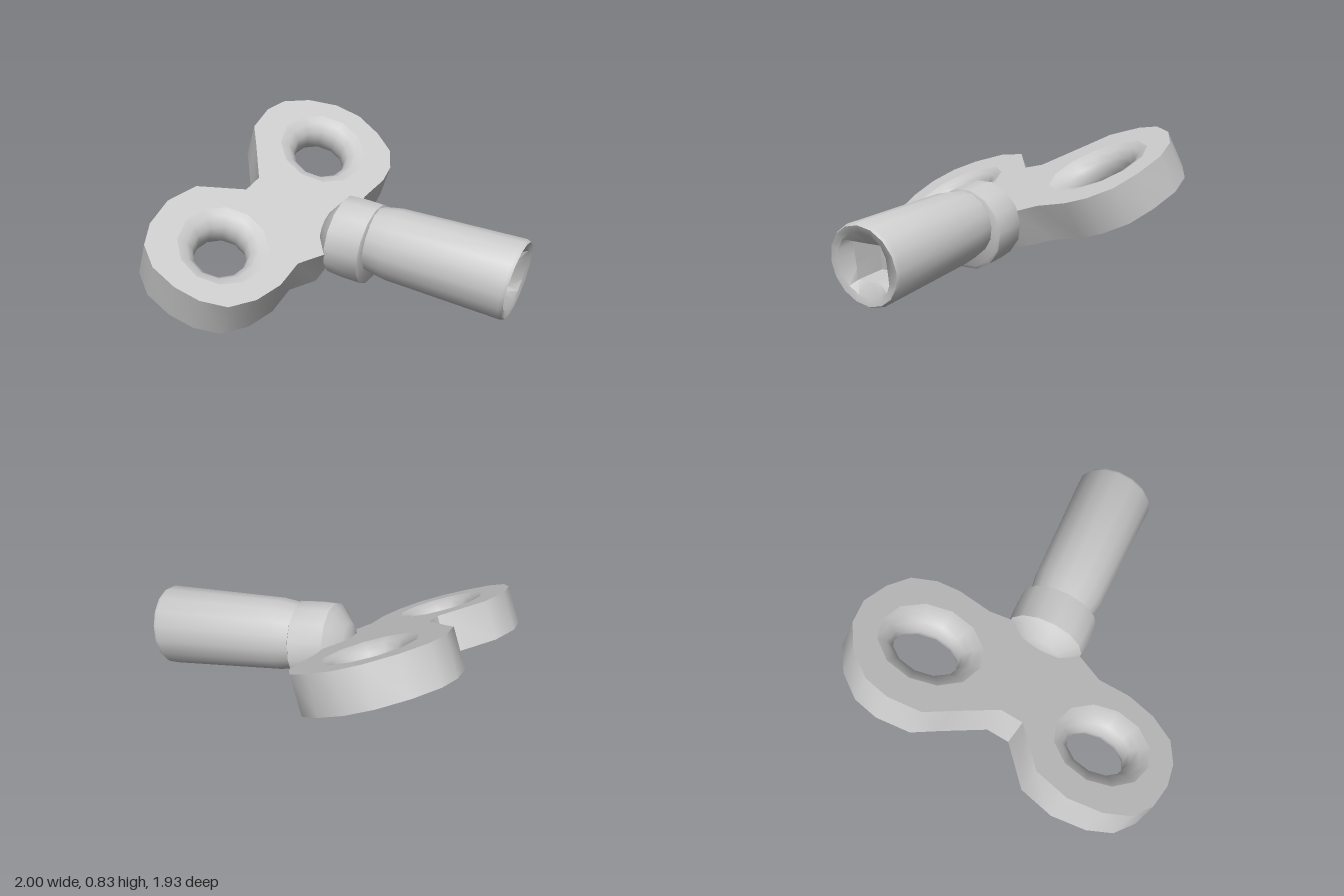
import * as THREE from 'three';
import { toCreasedNormals } from 'three/addons/utils/BufferGeometryUtils.js';

const material = new THREE.MeshStandardMaterial({ color: 0xcccccc });

function addPart(group, name, geometry, crease = 0.7) {
  const mesh = new THREE.Mesh(toCreasedNormals(geometry, crease), material);
  mesh.name = name;
  group.add(mesh);
}

// Turned part from a profile of [radius, distance along the axis]
function turned(profile, segments) {
  return new THREE.LatheGeometry(profile.map(([r, t]) => new THREE.Vector2(r, t)), segments);
}

// Lays a turned part along x on a falling axis that starts at height y
function layDown(geo, slope, y) {
  return geo.rotateZ(-Math.PI / 2 - Math.atan(slope)).translate(0, y, 0.01);
}

// Tilted plane of the handle: x, -z and thickness mapped into the model
const HALF = 0.112;
const normal = new THREE.Vector3(0.43, 1, 0.265).normalize();
const tilt = new THREE.Matrix4()
  .makeBasis(new THREE.Vector3(1, -0.43, 0), new THREE.Vector3(0, 0.265, -1), normal)
  .setPosition(0, 0.187, 0);

// Finger holes: centre x, z and radii at the waist of the opening
const HOLES = [
  { name: 'frontHoleRim', x: -0.58, z: 0.53, rx: 0.135, rz: 0.175 },
  { name: 'backHoleRim', x: -0.5, z: -0.52, rx: 0.145, rz: 0.185 },
];
const FLARE = 0.1;
const HOLE_SIDES = 12;

export function createModel() {
  const key = new THREE.Group();
  key.name = 'windUpKey';

  // Two-looped handle plate, outline as x, z
  const outline = [
    [-0.12, -0.2], [-0.14, -0.35], [-0.11, -0.55], [-0.12, -0.68], [-0.18, -0.81], [-0.3, -0.89],
    [-0.45, -0.94], [-0.6, -0.92], [-0.75, -0.83], [-0.86, -0.7], [-0.9, -0.56], [-0.89, -0.37],
    [-0.81, -0.25], [-0.67, -0.03], [-0.68, 0.1], [-0.9, 0.28], [-0.96, 0.48], [-0.945, 0.68],
    [-0.89, 0.82], [-0.78, 0.91], [-0.63, 0.94], [-0.49, 0.925], [-0.36, 0.86], [-0.27, 0.72],
    [-0.22, 0.55], [-0.215, 0.36], [-0.13, 0.2],
  ];
  const shape = new THREE.Shape(outline.map(([x, z]) => new THREE.Vector2(x, -z)));
  for (const h of HOLES) {
    const pts = [];
    for (let i = 0; i < HOLE_SIDES; i++) {
      const a = (i / HOLE_SIDES) * Math.PI * 2;
      pts.push(new THREE.Vector2(h.x + (h.rx + FLARE) * Math.sin(a), -h.z - (h.rz + FLARE) * Math.cos(a)));
    }
    shape.holes.push(new THREE.Path(pts));
  }
  const plate = new THREE.ExtrudeGeometry(shape, { depth: 2 * HALF, bevelEnabled: false });
  plate.translate(0, 0, -HALF).applyMatrix4(tilt);
  addPart(key, 'handlePlate', plate);

  // Rounded inner rims of the finger holes
  for (const h of HOLES) {
    const rim = [[2, HALF], [1.5, 0.095], [1.12, 0.06], [1, 0.02], [1, -0.02], [1.12, -0.06], [1.5, -0.095], [2, -HALF]];
    const geo = turned(rim, HOLE_SIDES).rotateX(Math.PI / 2);
    const p = geo.attributes.position;
    for (let i = 0; i < p.count; i++) {
      const r = Math.hypot(p.getX(i), p.getY(i));
      const flare = (r - 1) * FLARE;
      p.setXY(i, h.x + (p.getX(i) / r) * (h.rx + flare), -h.z + (p.getY(i) / r) * (h.rz + flare));
    }
    addPart(key, h.name, geo.applyMatrix4(tilt), 1);
  }

  // Collar with a short neck sunk into the handle
  const collar = turned([[0, -0.19], [0.12, -0.17], [0.2, -0.11], [0.228, -0.09],
    [0.235, 0.0], [0.235, 0.115], [0.215, 0.125], [0, 0.125]], 14);
  addPart(key, 'collar', layDown(collar, 0.14, 0.319));

  // Hollow shaft; the innermost rings become a square socket
  const SOCKET = 0.105;
  const END = 0.965;
  const shaft = turned([[0, 0.05], [0.18, 0.08], [0.19, 0.14], [0.207, 0.24], [0.23, END - 0.02],
    [0.22, END], [0.18, END - 0.01], [SOCKET, END - 0.06], [SOCKET, END - 0.25], [0, END - 0.25]], 16);
  const p = shaft.attributes.position;
  for (let i = 0; i < p.count; i++) {
    const x = p.getX(i), y = p.getY(i), z = p.getZ(i);
    const r = Math.hypot(x, z);
    if (r > 0.01 && r < SOCKET + 0.005) {
      const s = SOCKET / Math.max(Math.abs(x), Math.abs(z));
      p.setX(i, x * s);
      p.setZ(i, z * s);
    }
    // Slanted end cut
    if (y > END - 0.1) p.setY(i, y - 0.07 * x);
  }
  addPart(key, 'shaft', layDown(shaft, 0.11, 0.352));

  return key;
}
